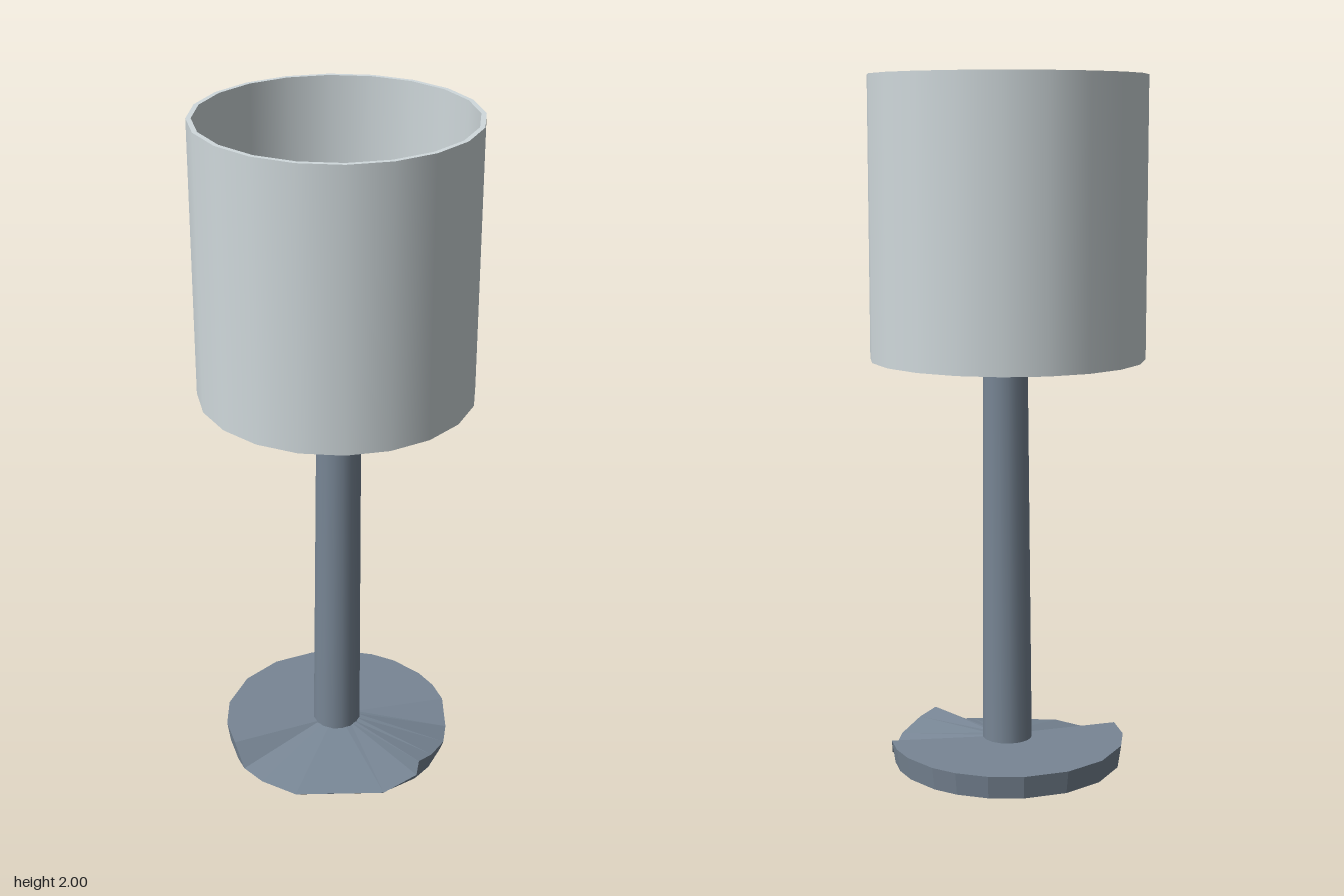
import * as THREE from 'three';

const material = (name, color, side = THREE.FrontSide) => {
  const m = new THREE.MeshStandardMaterial({ color, side });
  m.name = name;
  return m;
};

// Foot: a faceted disc whose rim is cut down to the floor in places.
// Each rim entry is [angle in degrees from +x towards +z, height of the top edge].
function footGeometry() {
  const high = 0.067, low = 0.008;
  const rim = [
    [-90, high], [-72, high], [-59, high], [-46, high], [-35, low], [-17, 0.03], [0, 0.052],
    [11, high], [12.5, 0.02], [33, low], [78, low], [98, low], [112, low], [122, high],
    [139, high], [157, high], [180, high], [202, high], [224, high], [241, high], [257, high],
  ];
  const at = (deg, radius, y) => {
    const a = THREE.MathUtils.degToRad(deg);
    return [radius * Math.cos(a), y, radius * Math.sin(a)];
  };
  const positions = [];
  const tri = (a, b, c) => positions.push(...a, ...b, ...c);
  rim.forEach(([angle, height], i) => {
    const [nextAngle, nextHeight] = rim[(i + 1) % rim.length];
    const hub0 = at(angle, 0.06, high), hub1 = at(nextAngle, 0.06, high);
    const top0 = at(angle, 0.345, height), top1 = at(nextAngle, 0.345, nextHeight);
    const low0 = at(angle, 0.335, 0), low1 = at(nextAngle, 0.335, 0);
    tri(hub0, hub1, top1); // upper face
    tri(hub0, top1, top0);
    tri(top0, top1, low1); // outer wall
    tri(top0, low1, low0);
    tri([0, 0, 0], low0, low1); // underside
  });
  const g = new THREE.BufferGeometry();
  g.setAttribute('position', new THREE.Float32BufferAttribute(positions, 3));
  g.computeVertexNormals();
  return g;
}

export function createModel() {
  const lamp = new THREE.Group();
  lamp.name = 'tableLamp';
  const metal = material('slate metal', 0x788695);
  const fabric = material('pale shade', 0xd0d9dc, THREE.DoubleSide);
  const glow = material('warm bulb', 0xe6d8a8);

  const add = (name, geometry, mat, y = 0) => {
    const mesh = new THREE.Mesh(geometry, mat);
    mesh.name = name;
    mesh.position.y = y;
    lamp.add(mesh);
    return mesh;
  };

  add('foot', footGeometry(), metal);

  // Stem narrows slightly and leans a touch towards the top
  const stem = new THREE.CylinderGeometry(0.064, 0.073, 1.28, 16);
  const p = stem.attributes.position;
  for (let i = 0; i < p.count; i++) {
    if (p.getY(i) > 0) p.setXYZ(i, p.getX(i) + 0.005, p.getY(i), p.getZ(i) - 0.005);
  }
  add('stem', stem, metal, 0.68);

  // Socket holding the bulb
  add('socket', new THREE.CylinderGeometry(0.113, 0.113, 0.21, 10), metal, 1.395);
  add('bulb', new THREE.SphereGeometry(0.16, 12, 8), glow, 1.63);

  // Open shade: thin outer and inner walls joined by flat rims
  const sides = 20, outer = 0.396, inner = 0.382, bottom = 1.2, top = 2;
  const wall = (name, radius) =>
    add(name, new THREE.CylinderGeometry(radius, radius, top - bottom, sides, 1, true), fabric, (top + bottom) / 2);
  wall('shadeOuterWall', outer);
  wall('shadeInnerWall', inner);
  for (const [name, y] of [['shadeTopRim', top], ['shadeBottomRim', bottom]]) {
    const rim = add(name, new THREE.RingGeometry(inner, outer, sides), fabric, y);
    rim.rotation.x = y === top ? -Math.PI / 2 : Math.PI / 2;
  }

  return lamp;
}
